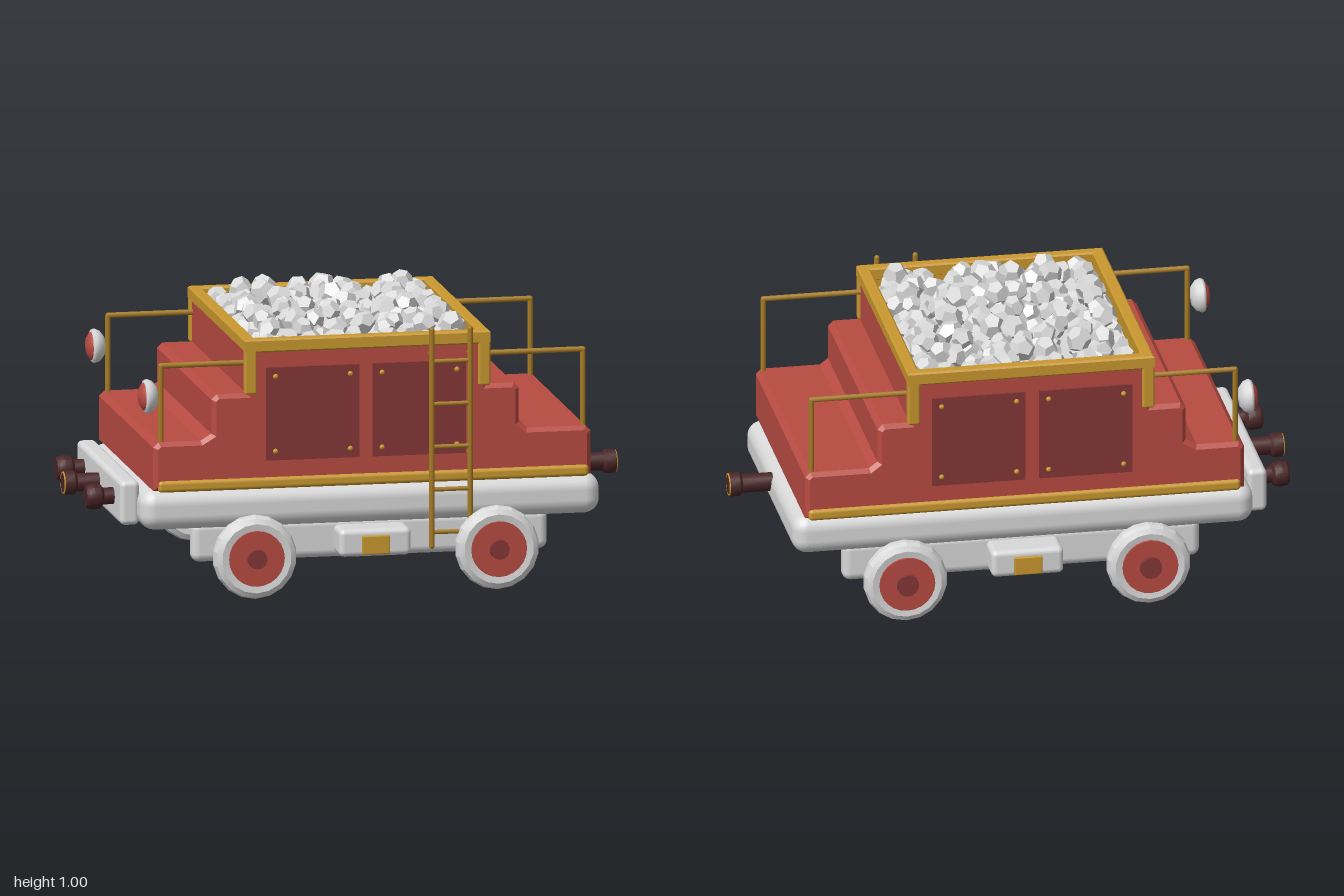
import * as THREE from 'three';
import { mergeGeometries, toCreasedNormals } from 'three/addons/utils/BufferGeometryUtils.js';
import { RoundedBoxGeometry } from 'three/addons/geometries/RoundedBoxGeometry.js';

const paint = (name, color) => {
  const m = new THREE.MeshStandardMaterial({ color });
  m.name = name;
  return m;
};

export function createModel() {
  const model = new THREE.Group();
  model.name = 'hopperWagon';
  const red = paint('red', 0xb84b42);
  const darkRed = paint('dark red', 0x853637);
  const gold = paint('gold', 0xc9982f);
  const brass = paint('brass', 0xa87c26);
  const grey = paint('light grey', 0xd9d9d9);
  const brown = paint('dark brown', 0x4a2526);

  function add(name, geo, mat, x = 0, y = 0, z = 0, parent = model) {
    const mesh = new THREE.Mesh(geo, mat);
    mesh.name = name;
    mesh.position.set(x, y, z);
    parent.add(mesh);
    return mesh;
  }
  // Rounded box given by its limits
  function block(name, mat, [x0, x1], [y0, y1], [z0, z1], r = 0.01) {
    const geo = new RoundedBoxGeometry(x1 - x0, y1 - y0, z1 - z0, 3, r);
    return add(name, geo, mat, (x0 + x1) / 2, (y0 + y1) / 2, (z0 + z1) / 2);
  }
  const mirrorZ = (s, a, b) => (s > 0 ? [a, b] : [-b, -a]);
  // Rod through a few points, with mitred straight runs
  function rod(name, points, r = 0.01) {
    const path = new THREE.CurvePath();
    const v = points.map((p) => new THREE.Vector3(...p));
    for (let i = 1; i < v.length; i++) path.add(new THREE.LineCurve3(v[i - 1], v[i]));
    const parts = path.curves.map((c) => new THREE.TubeGeometry(c, 1, r, 8));
    for (const p of v) parts.push(new THREE.SphereGeometry(r, 8, 6).translate(p.x, p.y, p.z));
    return add(name, mergeGeometries(parts), brass);
  }
  // Open rectangular ring lying flat
  function ring(name, mat, hx, hz, ix, iz, y0, y1, bevel = 0) {
    const rect = (P, a, b) => {
      const p = new P();
      p.moveTo(-a, -b);
      p.lineTo(a, -b);
      p.lineTo(a, b);
      p.lineTo(-a, b);
      p.closePath();
      return p;
    };
    const shape = rect(THREE.Shape, hx - bevel, hz - bevel);
    shape.holes.push(rect(THREE.Path, ix + bevel, iz + bevel));
    const geo = new THREE.ExtrudeGeometry(shape, {
      depth: y1 - y0 - 2 * bevel, bevelEnabled: bevel > 0, bevelSize: bevel, bevelThickness: bevel, bevelSegments: 1,
    }).rotateX(-Math.PI / 2);
    return add(name, geo, mat, 0, y0 + bevel, 0);
  }
  const lathe = (pts, sides) => new THREE.LatheGeometry(pts.map((p) => new THREE.Vector2(...p)), sides);

  // Chassis
  block('chassis', grey, [-0.81, 0.85], [0.24, 0.385], [-0.478, 0.478], 0.055);
  block('bufferBeam', grey, [-0.87, -0.80], [0.25, 0.41], [-0.39, 0.39], 0.02);
  block('bodyFloor', grey, [-0.72, 0.76], [0.37, 0.40], [-0.40, 0.40], 0.01);

  // Stepped body, chamfered all round
  const b = 0.015;
  const profile = [
    [-0.755, 0.405], [0.795, 0.405], [0.795, 0.54], [0.785, 0.55], [0.575, 0.55], [0.535, 0.58], [0.535, 0.705],
    [0.525, 0.715], [0.42, 0.715], [0.42, 0.79], [-0.42, 0.79], [-0.42, 0.715], [-0.535, 0.715], [-0.545, 0.705],
    [-0.545, 0.58], [-0.595, 0.55], [-0.745, 0.55], [-0.755, 0.54],
  ];
  const body = new THREE.ExtrudeGeometry(new THREE.Shape(profile.map((p) => new THREE.Vector2(...p))), {
    depth: 0.955, bevelEnabled: true, bevelSize: b, bevelThickness: b, bevelSegments: 1,
  });
  add('body', body, red, 0, 0, -0.4775);

  // Hopper walls, lining, rim and load bed
  ring('hopperWall', red, 0.435, 0.4925, 0.41, 0.47, 0.79, 0.89);
  ring('hopperLining', gold, 0.412, 0.472, 0.402, 0.462, 0.81, 0.89);
  ring('hopperRim', gold, 0.444, 0.504, 0.40, 0.46, 0.878, 0.926, 0.006);
  add('loadBed', new THREE.BoxGeometry(0.81, 0.02, 0.93), grey, 0, 0.845, 0);

  const tyre = lathe([[0.09, -0.035], [0.125, -0.04], [0.143, -0.03], [0.15, -0.012], [0.15, 0.012],
    [0.143, 0.03], [0.125, 0.04], [0.09, 0.035]], 18);
  const tyreGeo = toCreasedNormals(tyre.rotateX(Math.PI / 2), 0.3);
  const hubGeo = new THREE.CylinderGeometry(0.1, 0.1, 0.09, 24).rotateX(Math.PI / 2);
  const capGeo = new THREE.CylinderGeometry(0.035, 0.04, 0.118, 14).rotateX(Math.PI / 2);
  const rivetGeo = new THREE.SphereGeometry(0.01, 8, 6);

  for (const s of [1, -1]) {
    block('underframeRail', grey, [-0.62, 0.665], [0.115, 0.26], mirrorZ(s, 0.363, 0.438), 0.03);
    block('sillTrim', gold, [-0.755, 0.80], [0.385, 0.427], mirrorZ(s, 0.47, 0.503), 0.014);
    block('axleBox', grey, [-0.11, 0.15], [0.135, 0.235], mirrorZ(s, 0.42, 0.547), 0.02);
    block('axleBoxPlate', gold, [-0.03, 0.07], [0.145, 0.212], mirrorZ(s, 0.54, 0.558), 0.004);

    for (const x of [-0.415, 0.46]) {
      const wheel = new THREE.Group();
      wheel.name = 'wheel';
      wheel.position.set(x, 0.15, s * 0.535);
      model.add(wheel);
      add('tyre', tyreGeo, grey, 0, 0, 0, wheel);
      add('hub', hubGeo, red, 0, 0, 0, wheel);
      add('hubCap', capGeo, darkRed, 0, 0, 0, wheel);
    }

    // Side panels with rivets
    for (const x of [-0.1975, 0.1875]) {
      add('sidePanel', new THREE.BoxGeometry(0.335, 0.335, 0.009), darkRed, x, 0.655, s * 0.4965);
      for (const dx of [-0.135, 0.135]) for (const dy of [-0.135, 0.135]) {
        add('rivet', rivetGeo, gold, x + dx, 0.655 + dy, s * 0.5);
      }
    }

    // Corner posts and handrails
    for (const e of [-1, 1]) {
      block('cornerPost', gold, e < 0 ? [-0.444, -0.40] : [0.40, 0.444], [0.728, 0.9], mirrorZ(s, 0.468, 0.504), 0.008);
      const px = e < 0 ? -0.74 : 0.785;
      rod('handrail', [[px, 0.55, s * 0.465], [px, 0.838, s * 0.465], [e * 0.43, 0.838, s * 0.465]]);
    }

    // Lamps: grey shell behind a red lens facing the end
    const lamp = new THREE.Group();
    lamp.name = 'lamp';
    lamp.position.set(-0.75, 0.73, s * 0.465);
    lamp.rotation.z = Math.PI / 2;
    model.add(lamp);
    add('lampShell', lathe([[0, 0], [0.035, 0.006], [0.055, 0.022], [0.062, 0.04], [0.058, 0.05], [0.045, 0.052]], 18),
      grey, 0, 0, 0, lamp);
    add('lampLens', lathe([[0.052, 0.046], [0.048, 0.056], [0.03, 0.067], [0, 0.072]], 18), red, 0, 0, 0, lamp);

    // End buffers
    const buffer = lathe([[0, 0], [0.03, 0], [0.03, 0.045], [0.043, 0.055], [0.046, 0.08], [0.043, 0.1], [0.036, 0.108],
      [0, 0.108]], 14).rotateZ(Math.PI / 2);
    add('buffer', toCreasedNormals(buffer, 0.5), brown, -0.862, 0.335, s * 0.26);
  }

  // Central couplings at both ends
  for (const e of [-1, 1]) {
    const coupling = new THREE.Group();
    coupling.name = 'coupling';
    coupling.position.set(e * 0.84, 0.335, 0);
    coupling.rotation.z = -e * Math.PI / 2;
    model.add(coupling);
    const pts = [[0, 0], [0.033, 0], [0.033, 0.11], [0.043, 0.12], [0.043, 0.153], [0.037, 0.159], [0, 0.159]];
    add('couplingBar', toCreasedNormals(lathe(pts, 16), 0.5), brown, 0, 0, 0, coupling);
    add('couplingRing', new THREE.TorusGeometry(0.037, 0.004, 6, 20).rotateX(Math.PI / 2), gold, 0, 0.156, 0, coupling);
  }

  // Ladder on the front side
  const lx = [0.228, 0.366];
  for (const x of lx) {
    rod('ladderRail', [[x, 0.16, 0.522], [x, 0.94, 0.522]]);
    for (const y of [0.49, 0.85]) rod('ladderBracket', [[x, y, 0.522], [x, y, 0.485]], 0.008);
  }
  for (let i = 0; i < 5; i++) {
    const y = 0.21 + i * 0.154;
    rod('ladderRung', [[lx[0], y, 0.522], [lx[1], y, 0.522]], 0.008);
  }

  // Load of faceted stones on a jittered grid
  let seed = 7;
  const rand = () => {
    seed = (seed * 16807) % 2147483647;
    return seed / 2147483647;
  };
  const stones = [];
  const stone = (x, y, z) => {
    const r = 0.04 + rand() * 0.012;
    const g = new THREE.DodecahedronGeometry(r, 0);
    g.scale(0.85 + rand() * 0.3, 0.8 + rand() * 0.25, 0.85 + rand() * 0.3);
    g.rotateX(rand() * 6).rotateY(rand() * 6).rotateZ(rand() * 6);
    stones.push(g.translate(x, y, z));
  };
  const spread = (n, i, half) => {
    const v = ((i + 0.5 + (rand() - 0.5) * 0.8) / n * 2 - 1) * half;
    return THREE.MathUtils.clamp(v, -half + 0.045, half - 0.045);
  };
  for (const [nx, nz, y, hx, hz] of [[10, 11, 0.875, 0.4, 0.46], [7, 8, 0.918, 0.37, 0.42]]) {
    for (let i = 0; i < nx; i++) for (let j = 0; j < nz; j++) {
      stone(spread(nx, i, hx), y + rand() * 0.025, spread(nz, j, hz));
    }
  }
  const load = mergeGeometries(stones);
  load.computeVertexNormals();
  add('stoneLoad', load, grey);

  // Lathed shells are open, so show both faces of the grey and red paint
  grey.side = red.side = THREE.DoubleSide;
  return model;
}
